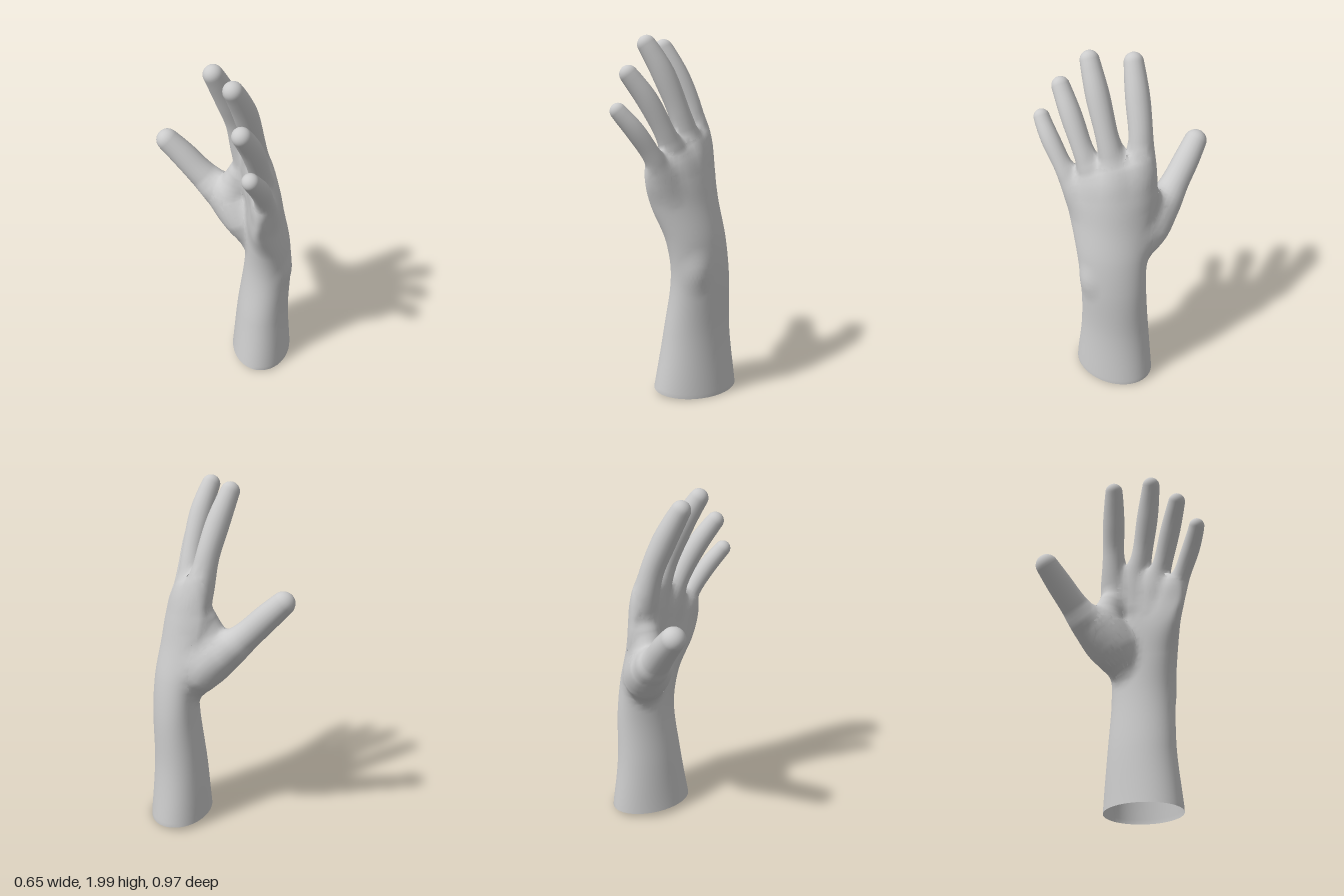
import * as THREE from 'three';

const BLEND = 0.055; // width of the soft blend where two parts meet
const BURIED = -0.05; // skin deeper than this inside another part is left out
const skin = new THREE.MeshStandardMaterial({ color: 0xcccccc, side: THREE.DoubleSide });

// Smooth interpolation through rows of numbers
function spline(rows, times) {
  const curve = new THREE.CubicInterpolant(times, rows.flat(), rows[0].length);
  return (t) => Array.from(curve.evaluate(t));
}

// One closed ring of points, from a rule of cosine and sine
function makeRing(sides, rule) {
  return Array.from({ length: sides }, (_, j) => {
    const angle = (j / sides) * Math.PI * 2;
    return rule(Math.cos(angle), Math.sin(angle));
  });
}

// Rounded minimum of two distances
function softMin(d, e) {
  const h = Math.max(0, 1 - Math.abs(d - e) / BLEND);
  return Math.min(d, e) - h * h * BLEND / 4;
}

// Forearm and palm, by height: [y, centre x, centre z, half width, half thickness, turn, arch, tilt]
const armRows = [
  [0.03, 0.11, 0.06, 0.252, 0.182, 0.63, 0, 0],
  [0.36, 0.118, 0.054, 0.21, 0.157, 0.48, 0, 0],
  [0.70, 0.141, 0.062, 0.195, 0.136, 0.34, 0, 0],
  [0.90, 0.122, 0.073, 0.209, 0.124, 0.34, 0.02, 0],
  [1.10, 0.073, 0.08, 0.246, 0.107, 0.33, 0.06, -0.05],
  [1.25, 0.053, 0.087, 0.268, 0.09, 0.3, 0.07, -0.15],
  [1.35, 0.045, 0.09, 0.258, 0.075, 0.3, 0.06, -0.28],
  [1.40, 0.042, 0.09, 0.235, 0.058, 0.3, 0.05, -0.36],
  [1.44, 0.038, 0.09, 0.195, 0.04, 0.3, 0.04, -0.4],
];
const armAt = spline(armRows, armRows.map((row) => row[0]));
const armTop = armRows[armRows.length - 1][0];

function armRings() {
  return Array.from({ length: 61 }, (_, i) => {
    const [y, cx, cz, a, b, turn, arch, tilt] = armAt(THREE.MathUtils.lerp(armRows[0][0], armTop, i / 60));
    const rimSlope = -0.1 * Math.max(0, 1 - i / 15);
    return makeRing(48, (cos, sin) => {
      const w = a * cos;
      const n = b * sin + arch * (0.5 - cos ** 2);
      return new THREE.Vector3(
        cx - w * Math.sin(turn) + n * Math.cos(turn),
        y + w * tilt + n * rimSlope,
        cz + w * Math.cos(turn) + n * Math.sin(turn)
      );
    });
  });
}

// Approximate signed distance to the forearm and palm
function armDistance(p) {
  let height = p.y, distance = 0;
  for (let pass = 0; pass < 3; pass++) {
    const [, cx, cz, a, b, turn, arch, tilt] = armAt(height);
    const dx = p.x - cx, dz = p.z - cz;
    const w = dz * Math.cos(turn) - dx * Math.sin(turn);
    const n = dx * Math.cos(turn) + dz * Math.sin(turn) - arch * (0.5 - Math.min(1, (w / a) ** 2));
    const q = Math.hypot(w / a, n / b) + 1e-6;
    distance = (q - 1) * q / (Math.hypot(w / a ** 2, n / b ** 2) + 1e-6);
    height = p.y - w * tilt;
  }
  return -softMin(-distance, armTop - height);
}

// Round parts along a path of [x, y, z, radius]
const digitRows = {
  indexFinger: [
    [0.08, 1.24, -0.07, 0.06], [0.06, 1.42, -0.094, 0.073], [0.02, 1.6, -0.093, 0.065],
    [-0.042, 1.76, -0.08, 0.066], [-0.1, 1.88, -0.067, 0.059], [-0.16, 1.99, -0.055, 0.047],
  ],
  middleFinger: [
    [0.08, 1.24, 0.04, 0.06], [0.06, 1.42, 0.047, 0.072], [0.02, 1.6, 0.087, 0.061],
    [-0.042, 1.78, 0.127, 0.064], [-0.1, 1.9, 0.155, 0.057], [-0.16, 2.0, 0.178, 0.047],
  ],
  ringFinger: [
    [0.06, 1.2, 0.13, 0.055], [0.03, 1.36, 0.168, 0.067], [-0.012, 1.5, 0.217, 0.057],
    [-0.075, 1.65, 0.268, 0.059], [-0.14, 1.76, 0.31, 0.053], [-0.195, 1.84, 0.342, 0.045],
  ],
  littleFinger: [
    [0.03, 1.14, 0.22, 0.045], [0.0, 1.28, 0.28, 0.058], [-0.04, 1.39, 0.332, 0.051],
    [-0.095, 1.5, 0.387, 0.052], [-0.15, 1.58, 0.425, 0.047], [-0.2, 1.645, 0.45, 0.041],
  ],
  thumb: [
    [0.1, 0.8, -0.01, 0.05], [0.05, 0.98, -0.125, 0.116], [-0.04, 1.105, -0.227, 0.1],
    [-0.12, 1.205, -0.3, 0.08], [-0.2, 1.315, -0.372, 0.073], [-0.302, 1.44, -0.452, 0.06],
  ],
  // Fleshy pad joining the thumb to the index side of the palm
  thumbPad: [
    [0.1, 0.82, 0.02, 0.05], [0.03, 0.98, -0.06, 0.1], [0.0, 1.1, -0.13, 0.1],
    [0.02, 1.19, -0.13, 0.08], [0.06, 1.32, -0.1, 0.055],
  ],
  // Bony bump on the outside of the wrist
  wristBone: [[0.13, 0.6, 0.14, 0.04], [0.155, 0.73, 0.172, 0.06], [0.13, 0.85, 0.14, 0.04]],
};

function makeDigit(rows) {
  const at = spline(rows, rows.map((_, i) => i));
  const end = rows.length - 1;
  const point = (t) => new THREE.Vector3(...at(t));
  const tip = point(end);
  const spine = [];
  const rings = Array.from({ length: 37 }, (_, i) => {
    const t = end * (1 - (1 - 0.995 * i / 36) ** 1.6);
    const centre = point(t);
    const tangent = point(Math.min(t + 0.02, end)).sub(point(Math.max(t - 0.02, 0))).normalize();
    const across = new THREE.Vector3(0, 0, 1).addScaledVector(tangent, -tangent.z).normalize();
    const back = tangent.clone().cross(across);
    const r = at(t)[3];
    const left = Math.min(1, centre.distanceTo(tip) / r);
    if (left === 1) spine.push({ centre, r });
    const dome = r * Math.sqrt(1 - (1 - left) ** 2);
    return makeRing(20, (cos, sin) =>
      centre.clone().addScaledVector(across, dome * cos).addScaledVector(back, dome * sin));
  });

  // Signed distance to the tapered path
  const ab = new THREE.Vector3(), ap = new THREE.Vector3();
  const distance = (p) => {
    let best = Infinity;
    for (let i = 1; i < spine.length; i++) {
      const a = spine[i - 1], b = spine[i];
      ab.subVectors(b.centre, a.centre);
      ap.subVectors(p, a.centre);
      const h = THREE.MathUtils.clamp(ap.dot(ab) / ab.lengthSq(), 0, 1);
      best = Math.min(best, ap.addScaledVector(ab, -h).length() - THREE.MathUtils.lerp(a.r, b.r, h));
    }
    return best;
  };
  return { rings, distance };
}

// Skin the rings of a part, settling every vertex on the soft union of all parts
function skinPart({ name, rings }, parts) {
  const union = (p) => parts.reduce((d, part) => softMin(d, part.distance(p)), 10);
  const gradient = (p) => new THREE.Vector3(...['x', 'y', 'z'].map((axis) => {
    const ahead = p.clone(), behind = p.clone();
    ahead[axis] += 0.002;
    behind[axis] -= 0.002;
    return (union(ahead) - union(behind)) / 0.004;
  }));
  const sides = rings[0].length, start = (rings.length - 1) * sides;
  const points = rings.flat();
  points.push(rings[rings.length - 1].reduce((s, p) => s.add(p), new THREE.Vector3()).divideScalar(sides));
  const buried = points.map((p) => union(p) < BURIED);
  const normals = points.map((p, i) => {
    for (let pass = 0; pass < 4 && !buried[i]; pass++) {
      const g = gradient(p);
      p.addScaledVector(g, -union(p) / Math.max(0.3, g.lengthSq()));
    }
    return gradient(p).normalize();
  });

  const index = [];
  const face = (...corners) => {
    if (!corners.some((c) => buried[c])) index.push(...corners);
  };
  for (let j = 0; j < sides; j++) {
    const k = (j + 1) % sides;
    for (let i = 0; i < start; i += sides) {
      face(i + j, i + k, i + k + sides);
      face(i + j, i + k + sides, i + j + sides);
    }
    face(start + j, start + k, points.length - 1);
  }
  const geometry = new THREE.BufferGeometry().setFromPoints(points);
  geometry.setAttribute('normal', new THREE.Float32BufferAttribute(normals.flatMap((n) => n.toArray()), 3));
  geometry.setIndex(index);
  const mesh = new THREE.Mesh(geometry, skin);
  mesh.name = name;
  return mesh;
}

export function createModel() {
  const hand = new THREE.Group();
  hand.name = 'hand';
  const parts = [{ name: 'forearmAndPalm', rings: armRings(), distance: armDistance }];
  for (const [name, rows] of Object.entries(digitRows)) parts.push({ name, ...makeDigit(rows) });
  for (const part of parts) hand.add(skinPart(part, parts));
  return hand;
}
